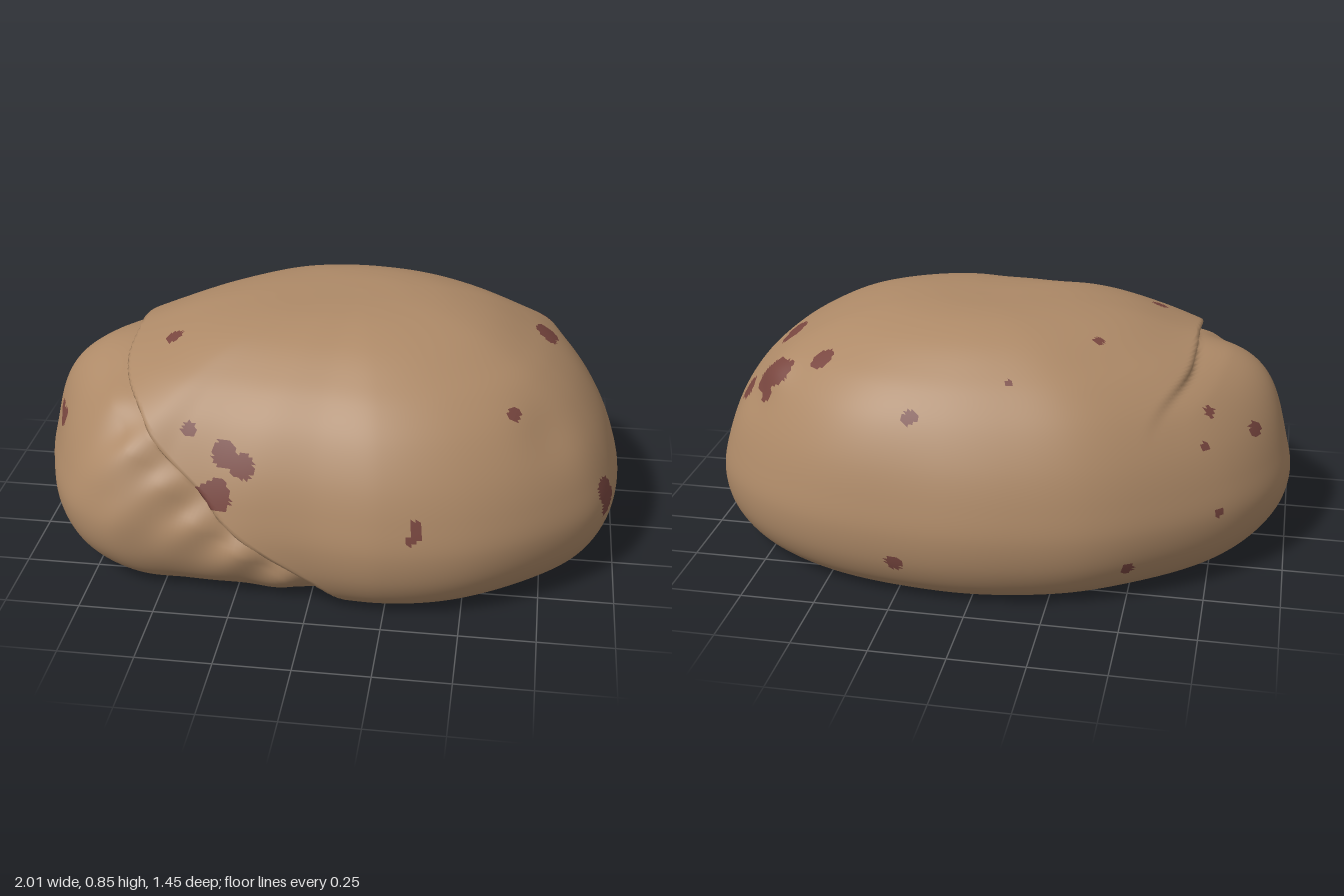
import * as THREE from 'three';

const V = (x, y, z) => new THREE.Vector3(x, y, z);
const step = THREE.MathUtils.smoothstep;
const AROUND = 320, SIDE_ROWS = 135, BASE_ROWS = 45;
const CENTRE = V(0.09, 0.25, -0.05);
const BASE_SHARE = 0.81;

// Widest outline of the bun, seen from above (x, z)
const outline = new THREE.CatmullRomCurve3([
  [1, 0], [0.98, 0.2], [0.91, 0.37], [0.75, 0.53], [0.5, 0.67], [0.25, 0.72], [0, 0.69],
  [-0.2, 0.68], [-0.36, 0.66], [-0.5, 0.65], [-0.66, 0.64], [-0.8, 0.56], [-0.9, 0.42],
  [-0.96, 0.25], [-1, 0.05], [-0.96, -0.15], [-0.85, -0.33], [-0.6, -0.54], [-0.4, -0.65],
  [-0.15, -0.71], [0.1, -0.73], [0.4, -0.7], [0.6, -0.63], [0.8, -0.5], [0.93, -0.35], [0.98, -0.18],
].map(([x, z]) => V(x, 0, z)), true);

// Dome profile from the top to the rim of the base (share of outline, height)
const profile = new THREE.CatmullRomCurve3([
  [0, 0.85], [0.2, 0.846], [0.35, 0.83], [0.5, 0.793], [0.63, 0.737], [0.73, 0.68], [0.83, 0.595],
  [0.92, 0.475], [0.973, 0.36], [1, 0.25], [0.985, 0.15], [0.94, 0.075], [0.88, 0.028], [BASE_SHARE, 0],
].map(([s, y]) => V(s, y, 0)));

// Raisin spots: x, y, z, radius
const spots = [
  [-0.91, 0.44, 0.27, 0.035], [-0.92, 0.45, 0.22, 0.025], [-0.4, 0.57, 0.53, 0.024],
  [-0.28, 0.53, 0.6, 0.045], [-0.22, 0.49, 0.62, 0.042], [-0.31, 0.39, 0.64, 0.055],
  [0.345, 0.31, 0.69, 0.018], [0.35, 0.335, 0.685, 0.02], [0.355, 0.36, 0.68, 0.018],
  [0.94, 0.26, 0.26, 0.048], [0.94, 0.3, 0.27, 0.048], [0.63, 0.62, 0.39, 0.028],
  [0.74, 0.7, -0.08, 0.045], [0.74, 0.69, -0.12, 0.045], [0.55, 0.71, -0.38, 0.042],
  [0.72, 0.65, -0.36, 0.055], [0.77, 0.6, -0.33, 0.05], [0.87, 0.54, -0.27, 0.042],
  [0.78, 0.59, -0.41, 0.03], [0.2, 0.62, -0.6, 0.027], [-0.1, 0.72, -0.49, 0.013],
  [-0.35, 0.78, -0.23, 0.018], [-0.76, 0.6, -0.29, 0.021], [-0.88, 0.48, -0.15, 0.03],
  [-0.51, 0.76, 0.23, 0.03], [-0.78, 0.27, -0.38, 0.017], [-0.74, 0.5, -0.36, 0.017],
  [0.24, 0.15, -0.71, 0.029], [-0.5, 0.13, -0.58, 0.025], [0.3, 0, 0.07, 0.05],
  [0.24, 0, 0.09, 0.045], [0.03, 0, 0.33, 0.028], [-0.33, 0, 0.04, 0.034],
  [-0.42, 0, -0.36, 0.052], [-0.82, 0.03, 0.1, 0.035],
];

const gauss = (p, x, y, z, r) => Math.exp(-p.distanceToSquared(V(x, y, z)) / (r * r));

// Folds, bumps and dents pushed along the direction from the middle
function knead(p, share, onBase) {
  const wobble = 0.02 * Math.sin(11 * p.z + 5 * p.y) + 0.012 * Math.sin(23 * p.y - 7 * p.z);
  const seam = 0.035 + 0.1 * (1 - step(p.y, 0.04, 0.36));
  const g = p.x + p.y - seam + wobble - 0.12 * Math.min(0, p.z + 0.1);
  const fade = step(p.z, -0.5, 0.05) * (onBase ? step(share, 0.58, BASE_SHARE) : 1);
  const lip = step(g, -0.03, 0.02);
  // The main dome overlaps the lower lobe along a diagonal seam
  let d = fade * (lip * 0.014 * Math.exp(-Math.abs(g) / 0.12)
    - (1 - lip) * 0.055 * Math.exp(-Math.abs(g) / 0.1));
  // Wrinkles and a raised shoulder on the lobe
  d += fade * (1 - lip) * 0.012 * Math.exp(-Math.abs(g + 0.12) / 0.15)
    * Math.sin(26 * (p.x - p.y) + 9 * p.z);
  d += 0.065 * gauss(p, -0.83, 0.58, 0.12, 0.2);
  // Torn crust around the large raisin, and gentle unevenness
  d += 0.025 * gauss(p, 0.74, 0.66, -0.36, 0.08) - 0.03 * gauss(p, 0.86, 0.62, -0.4, 0.09);
  d -= 0.015 * gauss(p, 0.75, 0.55, 0.35, 0.12);
  if (!onBase) d += 0.004 * Math.sin(7 * p.x + 2) * Math.sin(8 * p.z + 5 * p.y);
  const dir = p.clone().sub(CENTRE).normalize();
  if (onBase) dir.y = 0;
  p.addScaledVector(dir, d);
  p.y = Math.max(0, p.y);
  return p;
}

export function createModel() {
  const rim = outline.getSpacedPoints(AROUND).slice(0, AROUND);
  const sides = profile.getSpacedPoints(SIDE_ROWS).map((q) => [q.x, Math.max(0, q.y)]);
  const base = Array.from({ length: BASE_ROWS }, (_, k) => [BASE_SHARE * (1 - (k + 1) / BASE_ROWS), 0]);
  const rows = [...sides, ...base];

  // Skin points, row by row
  const points = [];
  for (const [share, y] of rows) {
    for (const r of rim) {
      const p = V(THREE.MathUtils.lerp(CENTRE.x, r.x, share), y, THREE.MathUtils.lerp(CENTRE.z, r.z, share));
      points.push(knead(p, share, y === 0));
    }
  }

  // Centre on the ground
  const box = new THREE.Box3().setFromPoints(points);
  const mid = box.getCenter(V(0, 0, 0));
  points.forEach((p) => p.sub(V(mid.x, box.min.y, mid.z)));

  // Settle each spot onto the nearest skin point
  const raisinSpots = spots.map(([x, y, z, r]) => {
    const at = V(x, y, z);
    let best = points[0];
    for (const p of points) if (p.distanceToSquared(at) < best.distanceToSquared(at)) best = p;
    return { at: best, r };
  });
  const isRaisin = (c) => raisinSpots.some(({ at, r }) => c.distanceTo(at)
    < r * (1 + 0.1 * Math.sin(60 * (c.x + c.z) + 40 * c.y)));

  // Sort the faces into crust and raisins
  const crustFaces = [], raisinFaces = [];
  const face = (a, b, c) => {
    const m = points[a].clone().add(points[b]).add(points[c]).divideScalar(3);
    (isRaisin(m) ? raisinFaces : crustFaces).push(a, b, c);
  };
  for (let i = 0; i < rows.length - 1; i++) {
    for (let j = 0; j < AROUND; j++) {
      const a = i * AROUND + j, b = i * AROUND + ((j + 1) % AROUND);
      const c = a + AROUND, d = b + AROUND;
      if (i > 0) face(a, b, c);
      if (i < rows.length - 2) face(b, d, c);
    }
  }

  // Shared smooth normals over the whole skin
  const skin = new THREE.BufferGeometry().setFromPoints(points);
  skin.setIndex([...crustFaces, ...raisinFaces]);
  skin.computeVertexNormals();

  const group = new THREE.Group();
  group.name = 'raisinBun';
  const addPart = (name, faces, material) => {
    const geometry = new THREE.BufferGeometry();
    geometry.setAttribute('position', skin.attributes.position);
    geometry.setAttribute('normal', skin.attributes.normal);
    geometry.setIndex(faces);
    const mesh = new THREE.Mesh(geometry, material);
    mesh.name = name;
    group.add(mesh);
  };
  const crust = new THREE.MeshStandardMaterial({ color: 0xad8967 });
  crust.name = 'crust brown';
  const raisin = new THREE.MeshStandardMaterial({ color: 0x78463f });
  raisin.name = 'raisin maroon';
  addPart('crust', crustFaces, crust);
  addPart('raisins', raisinFaces, raisin);
  return group;
}
